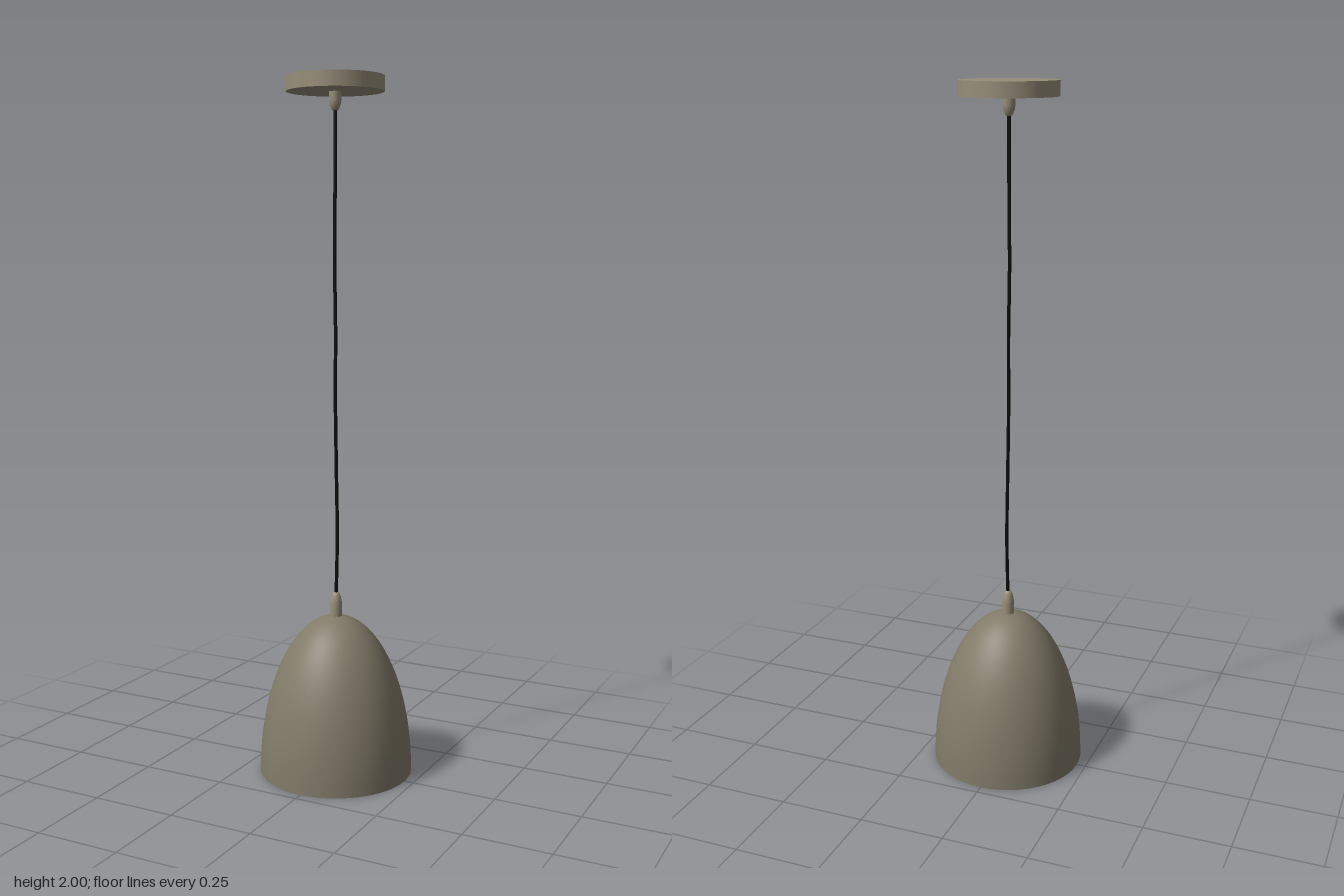
import * as THREE from 'three';

const flat = (name, color) => {
  const m = new THREE.MeshStandardMaterial({ color });
  m.name = name;
  return m;
};

export function createModel() {
  const shadeColor = flat('dark taupe', 0x827b69);
  const fittingColor = flat('light taupe', 0x978e79);
  const cordColor = flat('black', 0x0b0b0c);

  const model = new THREE.Group();
  model.name = 'pendantLamp';
  const add = (name, geometry, material, x = 0, y = 0, z = 0) => {
    const mesh = new THREE.Mesh(geometry, material);
    mesh.name = name;
    mesh.position.set(x, y, z);
    model.add(mesh);
    return mesh;
  };
  const lathe = (points, segments) =>
    new THREE.LatheGeometry(points.map(([r, y]) => new THREE.Vector2(r, y)), segments);

  // Half-ellipse dome profile, running from the rim up to the crown
  const dome = (radius, height) => Array.from({ length: 25 }, (_, i) => {
    const a = (i / 24) * Math.PI / 2;
    return [i === 24 ? 0 : radius * Math.cos(a), height * Math.sin(a)];
  });

  // Shade: outer skin, inner skin and the narrow rim joining them
  const R = 0.223, H = 0.468, wall = 0.006;
  add('shadeOuter', lathe(dome(R, H), 48), shadeColor);
  add('shadeInner', lathe(dome(R - wall, H - wall).reverse(), 48), shadeColor);
  add('shadeRim', new THREE.RingGeometry(R - wall, R, 48), shadeColor).rotation.x = Math.PI / 2;

  // Ceiling canopy
  const topX = -0.003, topZ = -0.001;
  add('canopy', new THREE.CylinderGeometry(0.137, 0.137, 0.042, 48), fittingColor, topX, 1.979, topZ);

  // Tapered cord grips: one on the shade, one hanging under the canopy
  const grip = [[0.018, 0], [0.018, 0.036], [0.0165, 0.05], [0.013, 0.063], [0.009, 0.073], [0, 0.075]];
  add('shadeGrip', lathe(grip, 20), fittingColor, 0, 0.463, 0);
  const canopyGrip = add('canopyGrip', lathe(grip, 20), fittingColor, topX, 1.96, topZ);
  canopyGrip.rotation.x = Math.PI;
  canopyGrip.scale.set(0.95, 0.72, 0.95);

  // Slightly wavy cord
  const path = new THREE.CatmullRomCurve3([
    [topX, 1.93, topZ], [-0.003, 1.7, 0], [-0.004, 1.5, 0.001], [-0.001, 1.3, 0.001],
    [-0.001, 1.1, 0.002], [0.001, 0.9, 0], [0.003, 0.7, -0.002], [0, 0.51, 0],
  ].map((p) => new THREE.Vector3(...p)));
  add('cord', new THREE.TubeGeometry(path, 64, 0.005, 10), cordColor);

  return model;
}
